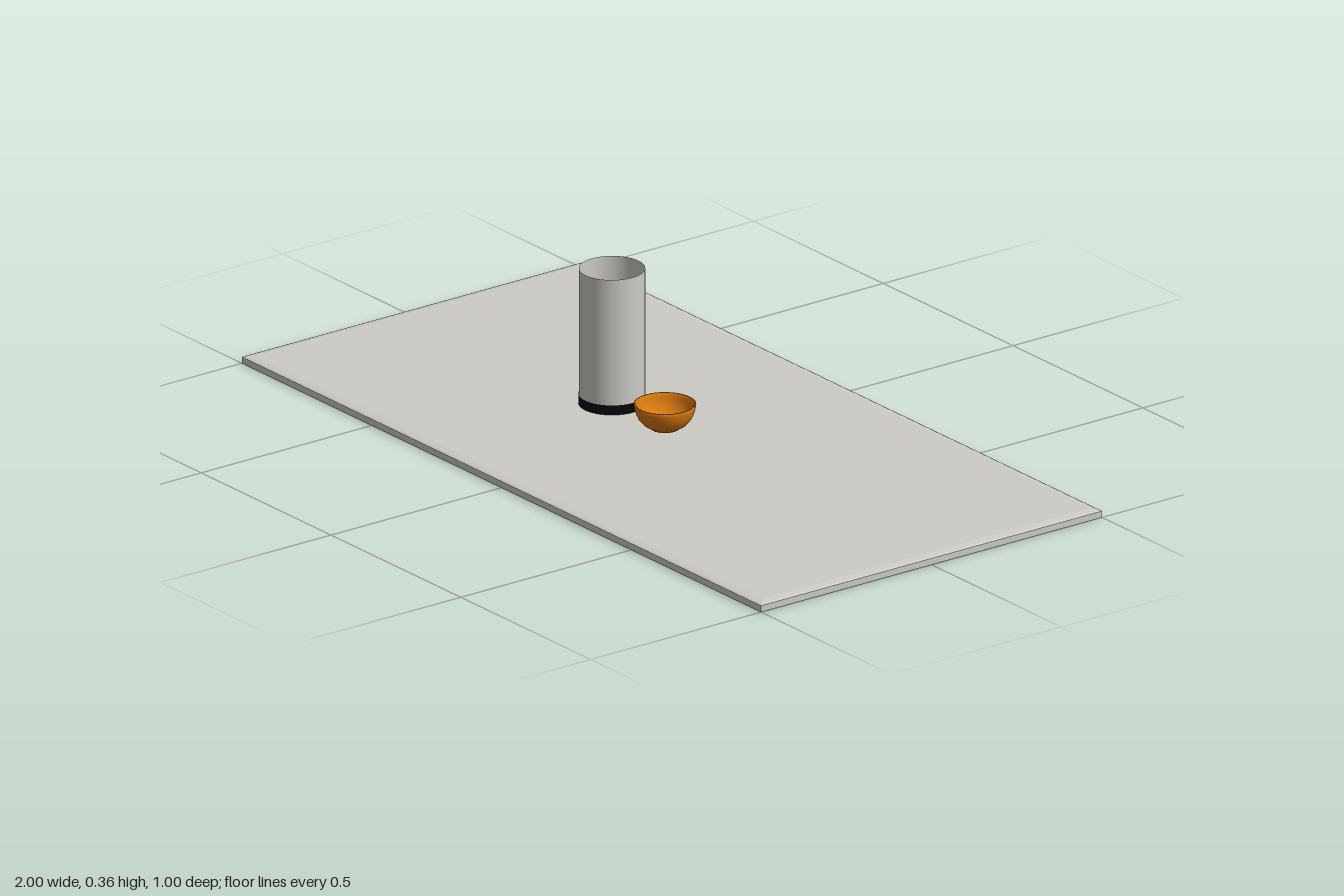
import * as THREE from 'three';

const material = (name, color, side = THREE.FrontSide) => {
  const m = new THREE.MeshStandardMaterial({ color, side });
  m.name = name;
  return m;
};

// Rectangular slab stacked from inset loops, giving a softly rounded top edge
function slabGeometry(halfX, halfZ, profile) {
  const loops = profile.map(([inset, y]) => {
    const x = halfX - inset, z = halfZ - inset;
    return [[-x, y, z], [x, y, z], [x, y, -z], [-x, y, -z]];
  });
  const pos = [];
  const quad = (a, b, c, d) => pos.push(...a, ...b, ...c, ...a, ...c, ...d);
  for (let i = 0; i < loops.length - 1; i++) {
    for (let k = 0; k < 4; k++) {
      const n = (k + 1) % 4;
      quad(loops[i][k], loops[i][n], loops[i + 1][n], loops[i + 1][k]);
    }
  }
  quad(...loops[loops.length - 1]);
  quad(...[...loops[0]].reverse());
  const g = new THREE.BufferGeometry();
  g.setAttribute('position', new THREE.Float32BufferAttribute(pos, 3));
  g.computeVertexNormals();
  return g;
}

export function createModel() {
  const group = new THREE.Group();
  const stone = material('pale stone', 0xcccbc6, THREE.DoubleSide);
  const black = material('black', 0x080808, THREE.DoubleSide);
  const orange = material('orange glaze', 0xd97a10, THREE.DoubleSide);

  const add = (name, geometry, mat, x = 0, y = 0) => {
    const mesh = new THREE.Mesh(geometry, mat);
    mesh.name = name;
    mesh.position.set(x, y, 0);
    group.add(mesh);
  };

  // Table slab
  add('tableTop', slabGeometry(1, 0.5, [[0, 0], [0, 0.016], [0.006, 0.0185], [0.022, 0.021]]), stone);

  // Open cylinder with a dark band at its foot
  const tube = (radius, bottom, top) =>
    new THREE.CylinderGeometry(radius, radius, top - bottom, 48, 1, true).translate(0, (top + bottom) / 2, 0);
  add('vaseWall', tube(0.0775, 0.022, 0.36), stone, -0.231);
  add('vaseBaseBand', tube(0.0785, 0.022, 0.046), black, -0.231);

  // Bowl: foot, outer wall, rim, inner wall and flat floor
  const profile = [
    [0, 0.023], [0.034, 0.023], [0.038, 0.027], [0.05, 0.034], [0.061, 0.046], [0.068, 0.06],
    [0.072, 0.075], [0.073, 0.084], [0.069, 0.084], [0.067, 0.073], [0.063, 0.06],
    [0.056, 0.048], [0.046, 0.038], [0.034, 0.031], [0, 0.031],
  ].map(([r, y]) => new THREE.Vector2(r, y));
  add('bowl', new THREE.LatheGeometry(profile, 40), orange, -0.027);

  return group;
}
